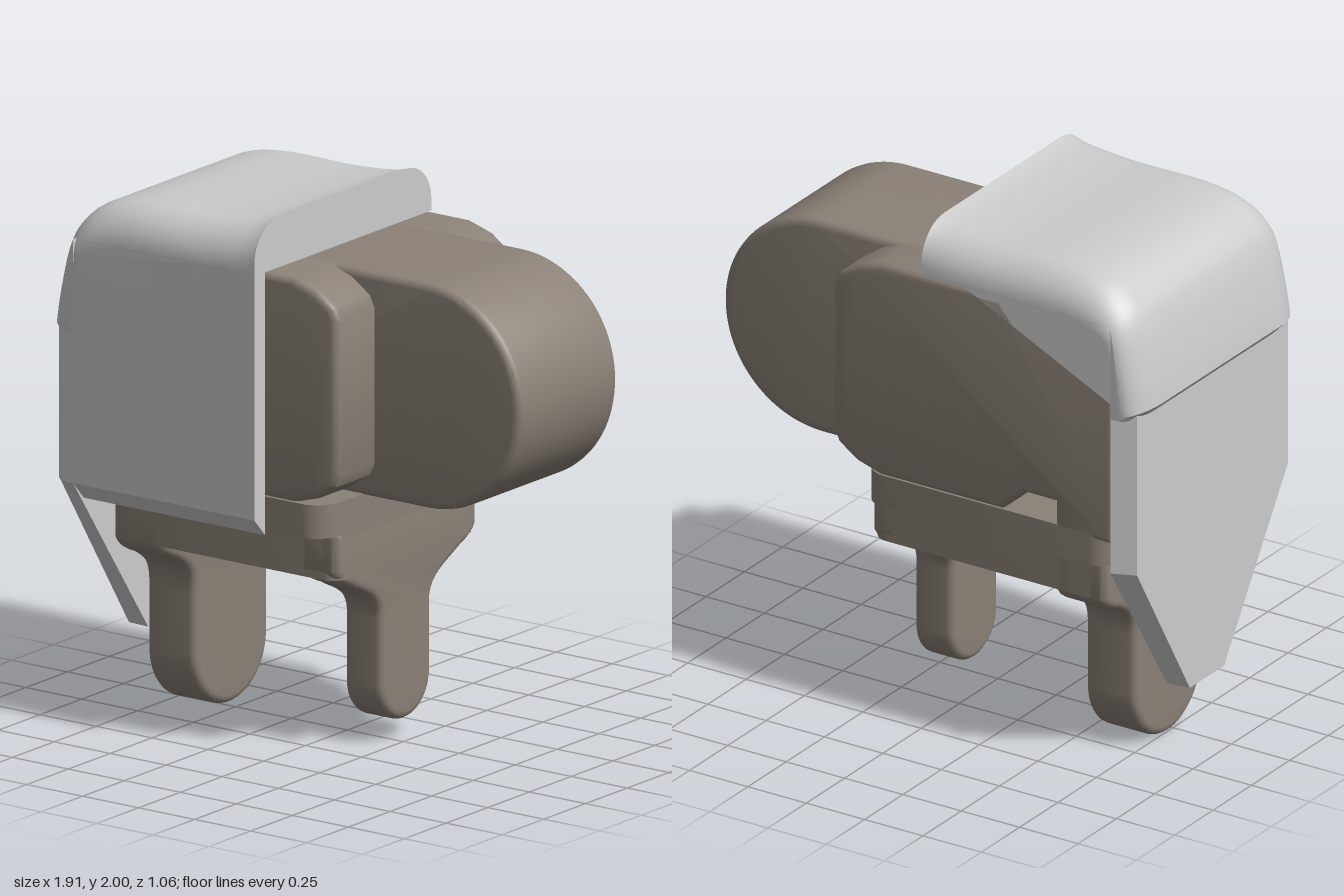
import * as THREE from 'three';
import { toCreasedNormals } from 'three/addons/utils/BufferGeometryUtils.js';

const V = (x, y) => new THREE.Vector2(x, y);
const poly = (pts) => new THREE.Shape(pts.map(([x, y]) => V(x, y)));

// Extrusion between two depths, with a rounded edge kept inside the outline
function slab(shape, from, to, bevel = 0) {
  const geo = new THREE.ExtrudeGeometry(shape, {
    depth: to - from - 2 * bevel, curveSegments: 24,
    bevelEnabled: bevel > 0, bevelSize: bevel, bevelThickness: bevel, bevelOffset: -bevel, bevelSegments: 4,
  });
  return geo.translate(0, 0, from + bevel);
}
// Same along x; outlines are drawn in (-z, y)
const slabX = (shape, from, to, bevel) => slab(shape, from, to, bevel).rotateY(Math.PI / 2);
// Same along y; outlines are drawn in (x, -z)
const slabY = (shape, from, to, bevel) => slab(shape, from, to, bevel).rotateX(-Math.PI / 2);

function roundedRect(x0, y0, x1, y1, r) {
  const s = new THREE.Shape();
  s.absarc(x1 - r, y1 - r, r, 0, Math.PI / 2);
  s.absarc(x0 + r, y1 - r, r, Math.PI / 2, Math.PI);
  s.absarc(x0 + r, y0 + r, r, Math.PI, Math.PI * 1.5);
  s.absarc(x1 - r, y0 + r, r, Math.PI * 1.5, Math.PI * 2);
  return s;
}

// Hanging leg: wide shoulders curving into a round-ended prong
function legShape(w, bottom, shoulder) {
  const c = 0.035, cy = bottom + w, s = new THREE.Shape();
  s.moveTo(c - 0.425, 0.86);
  s.lineTo(c - 0.425, shoulder);
  s.quadraticCurveTo(c - 0.41, shoulder - 0.04, c - 0.33, shoulder - 0.07);
  s.bezierCurveTo(c - 0.24, shoulder - 0.12, c - w, shoulder - 0.14, c - w, shoulder - 0.23);
  s.lineTo(c - w, cy);
  s.absarc(c, cy, w, Math.PI, Math.PI * 2, false);
  s.lineTo(c + w, shoulder - 0.23);
  s.bezierCurveTo(c + w, shoulder - 0.14, c + 0.24, shoulder - 0.12, c + 0.33, shoulder - 0.07);
  s.quadraticCurveTo(c + 0.41, shoulder - 0.04, c + 0.425, shoulder);
  s.lineTo(c + 0.425, 0.86);
  return s;
}

// Top profile of the shell, pulled inwards by d towards its rounded sides
const crown = new THREE.SplineCurve([
  V(-0.02, 2), V(-0.1, 1.98), V(-0.3, 1.965), V(-0.58, 1.965), V(-0.75, 1.935),
  V(-0.85, 1.865), V(-0.9, 1.77), V(-0.94, 1.6), V(-0.957, 1.49),
]);
function crownPoints(d) {
  const pts = [];
  for (let i = 0; i <= 32; i++) {
    const p = crown.getPoint(i / 32), t = crown.getTangent(i / 32);
    pts.push(V(Math.min(-0.02, p.x - t.y * d * 0.55), p.y + t.x * d));
  }
  pts[0].x = -0.02;
  return pts;
}

// Loft of crown profiles across z
function capGeometry() {
  const R = 0.15, Z = 0.53, stations = [];
  for (let i = 0; i <= 8; i++) {
    const a = (1 - i / 8) * Math.PI / 2;
    stations.push([Z - R + R * Math.sin(a), R * (1 - Math.cos(a))]);
  }
  const all = [...stations.map(([z, d]) => [-z, d]), ...stations.reverse()];
  const pos = [], idx = [];
  let n = 0, ring;
  for (const [z, d] of all) {
    ring = crownPoints(d);
    ring.push(V(-0.92 + d * 0.4, 1.45), V(-0.83, 1.45), V(-0.83, 1.81), V(-0.02, 1.81));
    n = ring.length;
    ring.forEach((p) => pos.push(p.x, p.y, z));
  }
  for (let k = 0; k < all.length - 1; k++) {
    for (let i = 0; i < n; i++) {
      const j = (i + 1) % n, a = k * n, b = a + n;
      idx.push(a + i, a + j, b + j, a + i, b + j, b + i);
    }
  }
  const last = (all.length - 1) * n;
  for (const [a, b, c] of THREE.ShapeUtils.triangulateShape(ring, [])) {
    idx.push(last + a, last + b, last + c, a, c, b);
  }
  const geo = new THREE.BufferGeometry();
  geo.setAttribute('position', new THREE.Float32BufferAttribute(pos, 3));
  geo.setIndex(idx);
  return geo;
}

// Move every vertex by a rule
function reshape(geo, rule) {
  const p = geo.attributes.position, v = new THREE.Vector3();
  for (let i = 0; i < p.count; i++) {
    rule(v.fromBufferAttribute(p, i));
    p.setXYZ(i, v.x, v.y, v.z);
  }
  return geo;
}

export function createModel() {
  const model = new THREE.Group();
  const grey = new THREE.MeshStandardMaterial({ color: 0xcccccc });
  const brown = new THREE.MeshStandardMaterial({ color: 0x8b8177 });
  const add = (name, geo, mat) => {
    const mesh = new THREE.Mesh(toCreasedNormals(geo, 0.5), mat);
    mesh.name = name;
    model.add(mesh);
  };

  // Shell: crown, front wall with sloped lower edge, pointed outer wall
  add('shellCrown', capGeometry(), grey);
  const front = new THREE.Shape([...crownPoints(0.15), V(-0.88, 1.45), V(-0.88, 0.9), V(-0.02, 0.9)]);
  add('shellFront', reshape(slab(front, 0.465, 0.53), (v) => {
    if (v.y < 0.91 && v.z < 0.5) v.y = 0.83;
  }), grey);
  const side = poly([[-0.53, 1.5], [-0.53, 0.9], [-0.08, 0.26], [0.16, 0.26], [0.53, 0.84], [0.53, 1.5]]);
  add('shellSide', reshape(slabX(side, -0.92, -0.83), (v) => {
    if (v.x < -0.9) v.z *= 0.93;
  }), grey);

  // Body: long rounded arm between two chamfered cheeks
  const arm = new THREE.Shape();
  arm.moveTo(-0.84, 0.97);
  arm.lineTo(0.53, 0.97);
  arm.absarc(0.53, 1.39, 0.42, -Math.PI / 2, Math.PI / 2, false);
  arm.lineTo(-0.84, 1.81);
  add('arm', slab(arm, -0.35, 0.24, 0.03), brown);

  const cheekEnd = (x) => [
    [x - 0.2, 0.97], [x - 0.1, 1.0], [x - 0.02, 1.055], [x, 1.1],
    [x, 1.68], [x - 0.02, 1.725], [x - 0.1, 1.78], [x - 0.2, 1.81],
  ];
  add('frontCheek', slab(poly([[-0.84, 0.97], ...cheekEnd(0.3), [-0.84, 1.81]]), 0.15, 0.465, 0.03), brown);
  const back = [[-0.84, 0.95], [-0.59, 0.95], [-0.59, 1.06], [-0.46, 1.06], [-0.36, 0.97],
    ...cheekEnd(0.36), [-0.36, 1.81], [-0.44, 1.72], [-0.84, 1.72]];
  add('backCheek', slab(poly(back), -0.53, -0.3, 0.025), brown);

  // Base under the body
  add('basePlate', slabY(roundedRect(-0.83, -0.465, 0.24, 0.53, 0.1), 0.85, 0.975), brown);
  add('baseBlock', slabY(roundedRect(-0.76, -0.39, 0.24, 0.46, 0.06), 0.68, 0.86), brown);

  // Legs
  add('outerLeg', slabX(legShape(0.222, 0, 0.68), -0.76, -0.54, 0.03), brown);
  add('innerLeg', slabX(legShape(0.152, 0.075, 0.71), 0.07, 0.24, 0.03), brown);

  return model;
}
